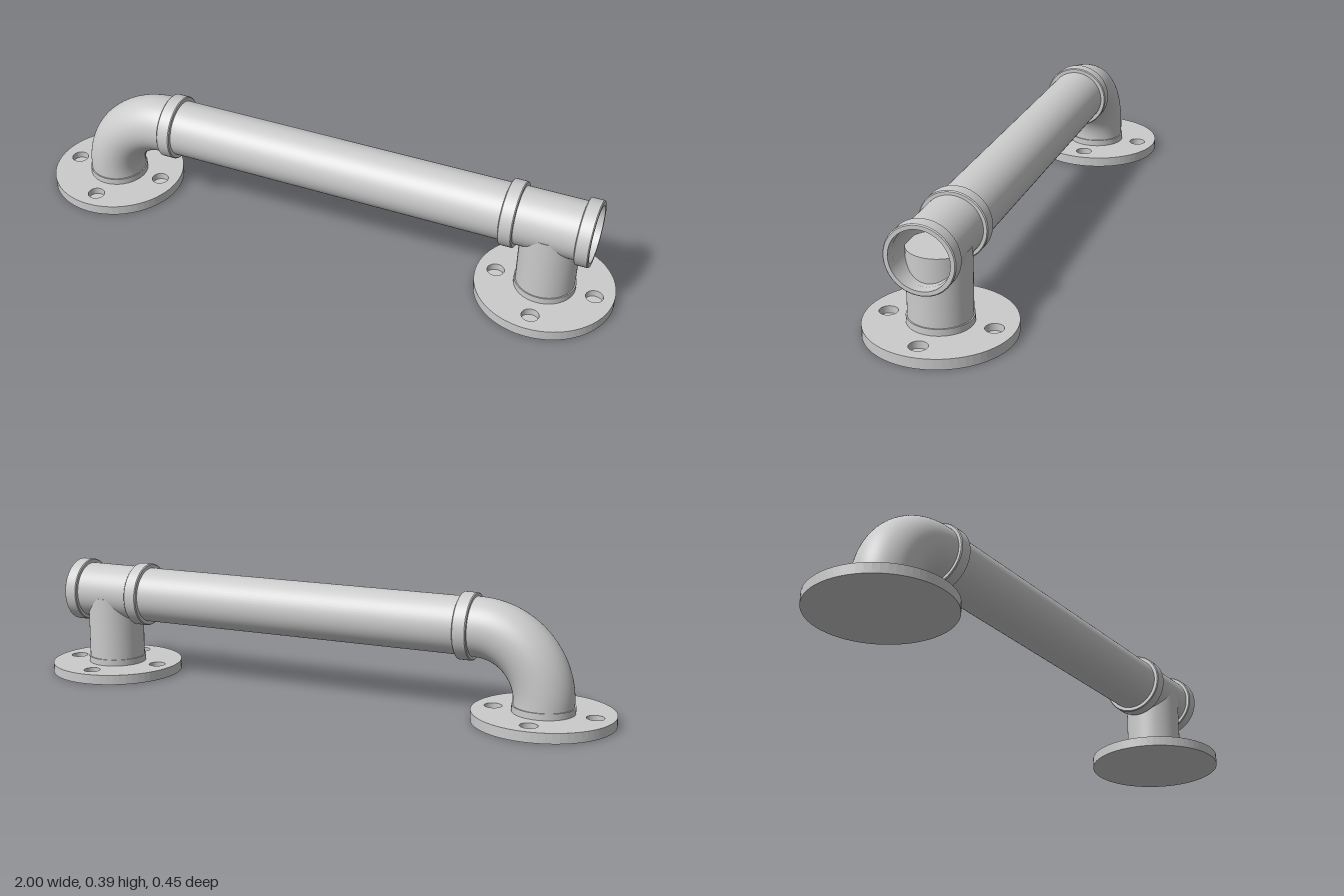
import * as THREE from 'three';

const AXIS_Y = 0.28;   // height of the rail
const FOOT_X = 0.775;  // distance of each foot from the centre
const PIPE_R = 0.094;

const material = new THREE.MeshStandardMaterial({ color: 0xcccccc, side: THREE.DoubleSide });

function add(parent, name, geometry) {
  const mesh = new THREE.Mesh(geometry, material);
  mesh.name = name;
  parent.add(mesh);
  return mesh;
}

// Open pipe lying along x between two ends
function rail(parent, name, x0, x1, radius) {
  const geometry = new THREE.CylinderGeometry(radius, radius, x1 - x0, 64, 1, true);
  geometry.rotateZ(Math.PI / 2).translate((x0 + x1) / 2, AXIS_Y, 0);
  return add(parent, name, geometry);
}

// Hollow band around the rail with softly bevelled edges
function band(parent, name, x0, x1, outer = 0.107, inner = 0.0915) {
  const b = 0.003;
  const h = x1 - x0;
  const corners = [
    [inner, 0], [outer - b, 0], [outer, b], [outer, h - b],
    [outer - b, h], [inner, h], [inner, 0],
  ];
  // each straight run is its own lathe so the edges stay crisp
  const group = new THREE.Group();
  group.name = name;
  for (let i = 0; i < corners.length - 1; i++) {
    const pts = [corners[i], corners[i + 1]].map(([r, y]) => new THREE.Vector2(r, y));
    const geometry = new THREE.LatheGeometry(pts, 64);
    geometry.rotateZ(-Math.PI / 2).translate(x0, AXIS_Y, 0);
    add(group, name + 'Face', geometry);
  }
  parent.add(group);
}

// Round wall flange with four blind screw holes and a raised collar
function flange(name, x) {
  const group = new THREE.Group();
  group.name = name;
  group.position.x = x;
  const floor = 0.01, top = 0.033, radius = 0.225;

  const shape = new THREE.Shape();
  shape.absarc(0, 0, radius, 0, Math.PI * 2, false);
  for (let i = 0; i < 4; i++) {
    const a = (i * Math.PI) / 2;
    const hole = new THREE.Path();
    hole.absarc(Math.cos(a) * 0.162, Math.sin(a) * 0.162, 0.028, 0, Math.PI * 2, true);
    shape.holes.push(hole);
  }
  const plate = new THREE.ExtrudeGeometry(shape, {
    depth: top - floor, bevelEnabled: false, curveSegments: 32,
  });
  plate.rotateX(-Math.PI / 2).translate(0, floor, 0);
  add(group, 'flangePlate', plate);

  add(group, 'flangeBase', new THREE.CylinderGeometry(radius, radius, floor, 64))
    .position.y = floor / 2;
  add(group, 'flangeCollar', new THREE.CylinderGeometry(0.099, 0.099, 0.021, 64))
    .position.y = top + 0.0105;
  return group;
}

// Quarter bend that rises from the left-hand foot into the rail
class Bend extends THREE.Curve {
  getPoint(t, target = new THREE.Vector3()) {
    const radius = 0.215;
    const a = Math.PI - (t * Math.PI) / 2;
    return target.set(
      -FOOT_X + radius + Math.cos(a) * radius,
      AXIS_Y - radius + Math.sin(a) * radius, 0);
  }
}

export function createModel() {
  const model = new THREE.Group();
  model.name = 'pipeHandle';

  model.add(flange('elbowFlange', -FOOT_X), flange('teeFlange', FOOT_X));

  // Elbow
  const elbow = new THREE.Group();
  elbow.name = 'elbow';
  add(elbow, 'elbowBend', new THREE.TubeGeometry(new Bend(), 40, 0.095, 64, false));
  add(elbow, 'elbowStub', new THREE.CylinderGeometry(0.095, 0.095, 0.03, 64, 1, true))
    .position.set(-FOOT_X, 0.051, 0);
  rail(elbow, 'elbowOutlet', -0.56, -0.53, 0.095);
  band(elbow, 'elbowBand', -0.55, -0.505);
  model.add(elbow);

  // Straight rail
  rail(model, 'mainPipe', -0.535, 0.655, 0.0925);

  // Tee with its open end and upright leg
  const tee = new THREE.Group();
  tee.name = 'tee';
  rail(tee, 'teeBody', 0.64, 0.89, PIPE_R);
  rail(tee, 'teeLining', 0.64, 0.89, 0.0895);
  band(tee, 'teeInnerBand', 0.63, 0.675);
  band(tee, 'teeEndBand', 0.87, 0.915);
  const legTop = 0.267, legBottom = 0.04;
  add(tee, 'teeLeg', new THREE.CylinderGeometry(0.095, 0.095, legTop - legBottom, 64))
    .position.set(FOOT_X, (legTop + legBottom) / 2, 0);
  model.add(tee);

  return model;
}
